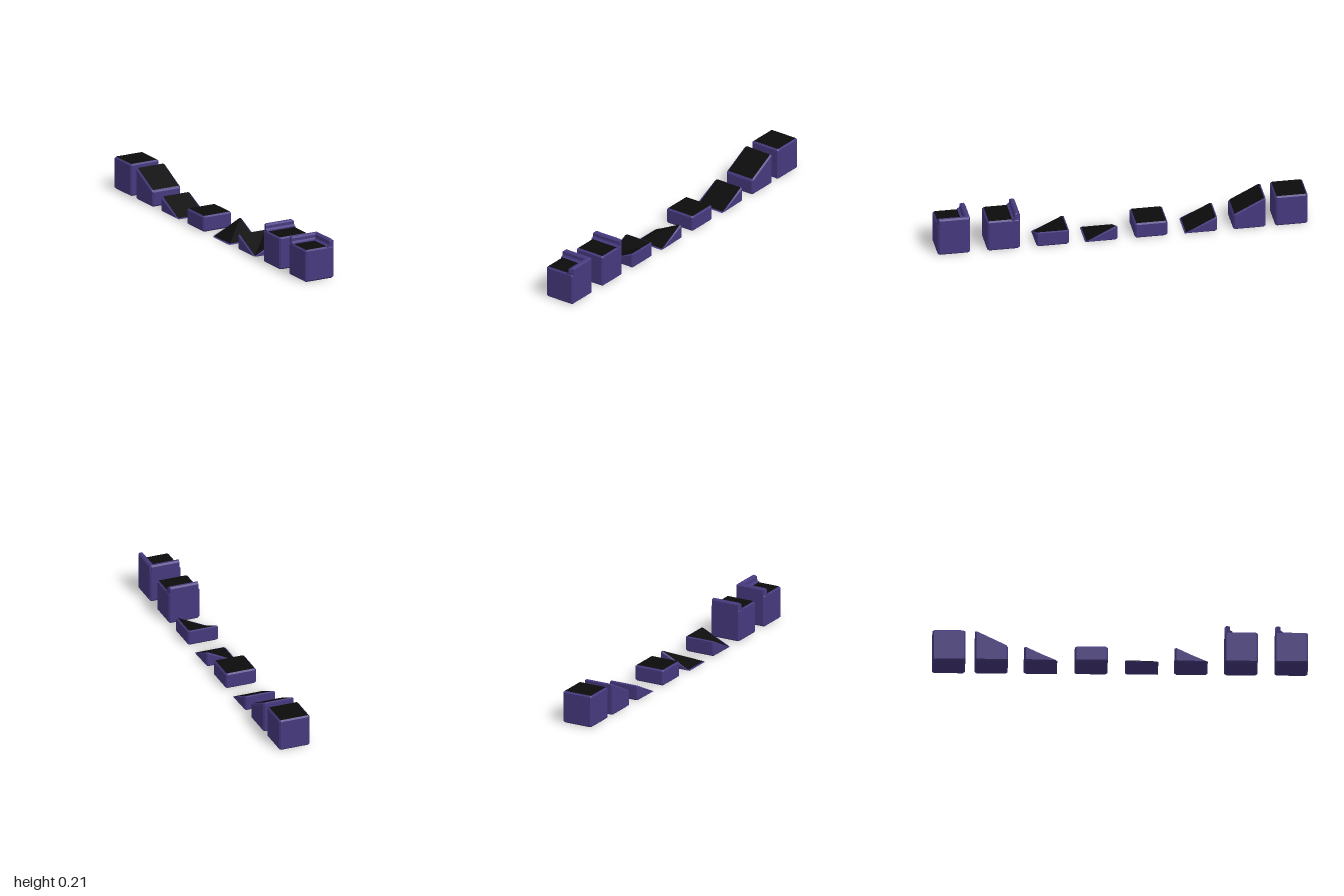
import * as THREE from 'three';

const R = 0.088;   // half width of a tile
const B = 0.008;   // bevel
const H = 0.178;   // full block height
const L = 0.088;   // half block height

const sideMat = new THREE.MeshStandardMaterial({ color: 0x47397f, flatShading: true });
const topMat = new THREE.MeshStandardMaterial({ color: 0x0c0c0c, flatShading: true });

// Square outline with cut corners, counter-clockwise from above
function outline(inset) {
  const w = R - inset, k = w - (inset ? B * 0.5 : B);
  return [[w, k], [w, -k], [k, -w], [-k, -w], [-w, -k], [-w, k], [-k, w], [k, w]];
}

function meshFrom(name, points, material) {
  const g = new THREE.BufferGeometry().setFromPoints(points);
  g.computeVertexNormals();
  const m = new THREE.Mesh(g, material);
  m.name = name;
  return m;
}

// Bevelled block whose top follows height(u, v): u rises to +x, v rises to -z
function block(height) {
  const h = (x, z) => height((x / R + 1) / 2, (1 - z / R) / 2);
  const inner = outline(B), outer = outline(0);
  const P = (p, y) => new THREE.Vector3(p[0], y, p[1]);
  const low = (p) => Math.min(B, h(...p));
  const rings = [
    inner.map((p) => P(p, 0)),
    outer.map((p) => P(p, low(p))),
    outer.map((p) => P(p, Math.max(h(...p) - B, low(p)))),
    inner.map((p) => P(p, h(...p))),
  ];
  const sides = [], top = [];
  for (let i = 0; i < 8; i++) {
    const j = (i + 1) % 8;
    for (let r = 0; r < 3; r++) {
      const a = rings[r], b = rings[r + 1];
      sides.push(a[i], a[j], b[j], a[i], b[j], b[i]);
    }
    sides.push(P([0, 0], 0), rings[0][j], rings[0][i]);
    top.push(P([0, 0], h(0, 0)), rings[3][i], rings[3][j]);
  }
  const group = new THREE.Group();
  group.add(meshFrom('blockSides', sides, sideMat), meshFrom('blockTop', top, topMat));
  return group;
}

// Raised curb along the +x edge, with a flared foot and bevelled ends
function curb() {
  const profile = [[0, H - B], [0, 0.206], [B, 0.214], [0.02, 0.214], [0.028, 0.206],
    [0.028, 0.19], [0.032, 0.183], [0.042, H + 0.001], [0.042, H - B]];
  const shape = new THREE.Shape(profile.map(([d, y]) => new THREE.Vector2(R - d, y)));
  const g = new THREE.ExtrudeGeometry(shape, { depth: 2 * R, bevelEnabled: false });
  g.translate(0, 0, -R);
  const p = g.attributes.position;
  for (let i = 0; i < p.count; i++) {
    if (p.getY(i) > 0.21 || p.getX(i) > R - 0.004) {
      p.setZ(i, Math.sign(p.getZ(i)) * (R - B));
    }
  }
  g.computeVertexNormals();
  const m = new THREE.Mesh(g, sideMat);
  m.name = 'curb';
  return m;
}

export function createModel() {
  const model = new THREE.Group();
  model.name = 'roadTileSet';
  // name, z position, top height rule, curb directions
  const tiles = [
    ['cornerCurbTile', 0.912, () => H, [0, Math.PI / 2]],
    ['edgeCurbTile', 0.644, () => H, [Math.PI / 2]],
    ['innerCornerSlope', 0.378, (u, v) => L * Math.max(u, v), []],
    ['outerCornerSlope', 0.115, (u, v) => L * Math.min(u, v), []],
    ['halfBlock', -0.154, () => L, []],
    ['lowSlope', -0.423, (u, v) => L * v, []],
    ['highSlope', -0.685, (u, v) => L + (H - L) * v, []],
    ['fullBlock', -0.912, () => H, []],
  ];
  for (const [name, z, height, curbs] of tiles) {
    const tile = block(height);
    tile.name = name;
    tile.position.z = z;
    for (const angle of curbs) {
      const c = curb();
      c.rotation.y = angle;
      tile.add(c);
    }
    model.add(tile);
  }
  return model;
}
